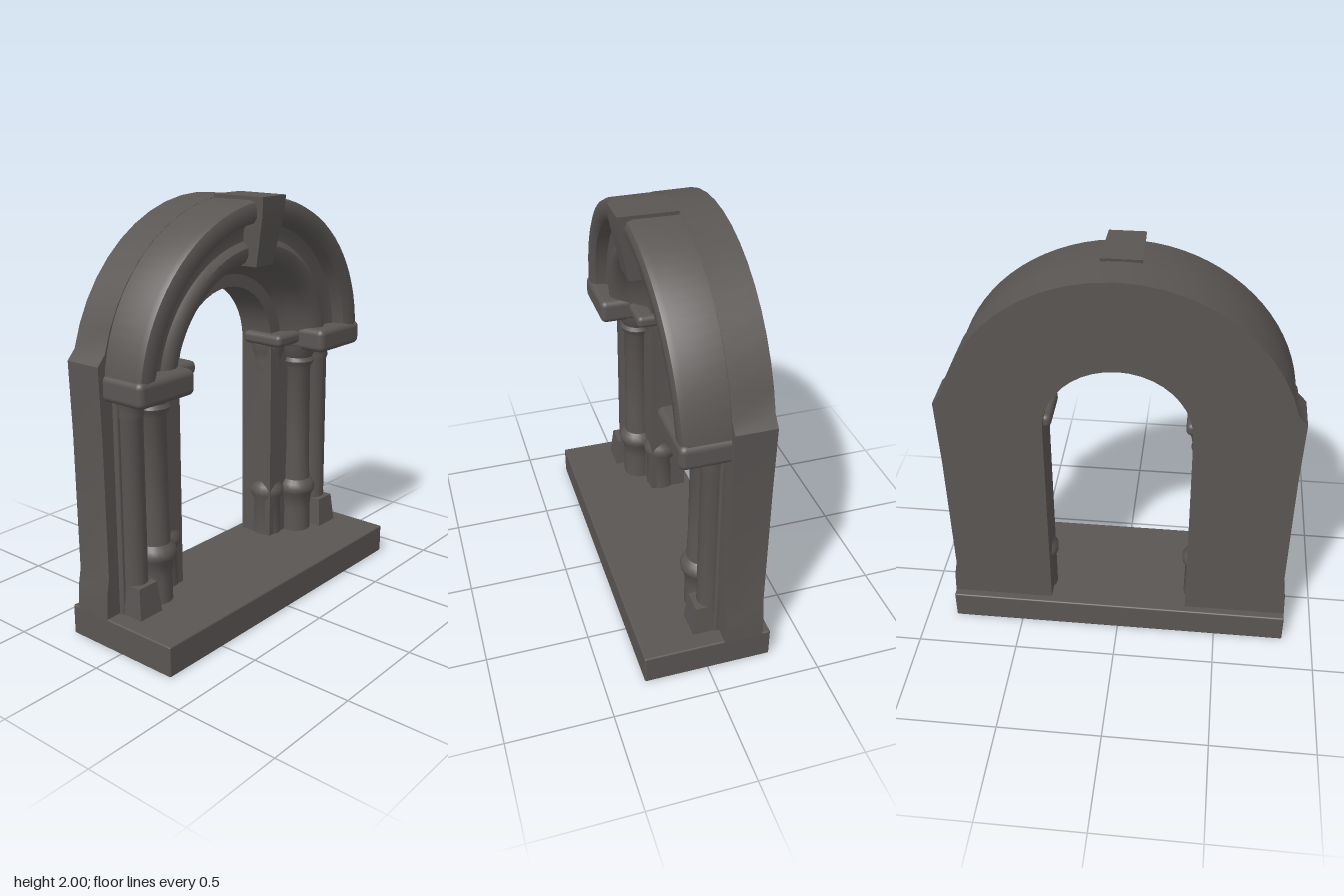
import * as THREE from 'three';
import { toCreasedNormals } from 'three/addons/utils/BufferGeometryUtils.js';
import { RoundedBoxGeometry } from 'three/addons/geometries/RoundedBoxGeometry.js';

const stone = new THREE.MeshStandardMaterial({ color: 0x5a5654 });
stone.name = 'darkStone';
const V = (p) => p.map(([x, y]) => new THREE.Vector2(x, y));

function add(parent, name, geometry, x = 0, y = 0, z = 0) {
  const mesh = new THREE.Mesh(geometry, stone);
  mesh.name = name;
  mesh.position.set(x, y, z);
  parent.add(mesh);
  return mesh;
}

// Box given by its limits, with softened edges
function block(parent, name, x0, x1, y0, y1, z0, z1, r = 0.01) {
  const g = new RoundedBoxGeometry(x1 - x0, y1 - y0, z1 - z0, 3, r);
  return add(parent, name, g, (x0 + x1) / 2, (y0 + y1) / 2, (z0 + z1) / 2);
}

// Turned column from [radius, height] pairs
function column(parent, name, x, z, profile) {
  const g = toCreasedNormals(new THREE.LatheGeometry(V(profile), 20), 0.7);
  return add(parent, name, g, x, 0, z);
}

// Back wall: slab with a round head and a round-headed opening
function wallGeometry() {
  const pts = [[0.85, 0.14], [0.845, 0.26], [0.83, 0.34], [0.835, 1.0], [0.845, 1.33]];
  const n = 20;
  for (let i = 0; i <= n; i++) {
    const a = 0.26 + (Math.PI - 0.52) * i / n;
    pts.push([0.83 * Math.cos(a), 1.165 + 0.825 * Math.sin(a)]);
  }
  pts.push([-0.845, 1.33], [-0.835, 1.0], [-0.83, 0.34], [-0.845, 0.26], [-0.85, 0.14]);
  pts.push([-0.345, 0.14], [-0.345, 1.22]);
  for (let i = 1; i < n; i++) {
    const a = Math.PI * (1 - i / n);
    pts.push([0.345 * Math.cos(a), 1.22 + 0.335 * Math.sin(a)]);
  }
  pts.push([0.345, 1.22], [0.345, 0.14]);
  const g = new THREE.ExtrudeGeometry(new THREE.Shape(V(pts)), { depth: 0.19, bevelEnabled: false });
  g.translate(0, 0, -0.27);
  return toCreasedNormals(g, 0.6);
}

// Moulded arch: [radius, z] section swept over a half circle
function archGeometry() {
  const section = [[0.8, -0.12], [0.8, 0.1], [0.79, 0.125], [0.765, 0.135], [0.72, 0.132],
    [0.695, 0.115], [0.685, 0.085], [0.675, 0.06], [0.64, 0.05], [0.605, 0.05], [0.595, 0.06],
    [0.575, 0.075], [0.54, 0.075], [0.505, 0.055], [0.485, 0.02], [0.47, -0.02],
    [0.42, -0.075], [0.37, -0.14], [0.348, -0.2], [0.4, -0.2], [0.8, -0.12]];
  const n = 40, m = section.length, pos = [], index = [];
  for (let i = 0; i <= n; i++) {
    const a = Math.PI * i / n, s = Math.sin(a);
    for (const [r, z] of section) {
      const lean = z > 0 ? 0.03 * s : 0;
      pos.push(r * Math.cos(a) * 1.015, 1.2 + r * s * 0.985 + 0.012 * s * (0.8 - r), z + lean);
    }
  }
  for (let i = 0; i < n; i++) {
    for (let j = 0; j < m - 1; j++) {
      const a = i * m + j, b = a + m;
      index.push(a, b, a + 1, b, b + 1, a + 1);
    }
  }
  const g = new THREE.BufferGeometry();
  g.setAttribute('position', new THREE.Float32BufferAttribute(pos, 3));
  g.setIndex(index);
  return toCreasedNormals(g, 0.65);
}

// Keystone: wedge narrowing and receding towards its foot
function keystoneGeometry() {
  const g = new THREE.BoxGeometry(1, 1, 1, 1, 4, 1);
  const p = g.attributes.position;
  for (let i = 0; i < p.count; i++) {
    const t = p.getY(i) + 0.5;
    const front = p.getZ(i) > 0;
    const half = (0.06 + 0.025 * t) * (front ? 1 : 1.1);
    p.setXYZ(i, Math.sign(p.getX(i)) * half, 1.68 + 0.32 * t,
      front ? 0.145 + 0.055 * Math.min(1, t * 1.2) : -0.08 * t);
  }
  g.computeVertexNormals();
  return toCreasedNormals(g, 0.6);
}

// Everything on one side of the opening; s = 1 is the model's left
function jamb(s) {
  const group = new THREE.Group();
  group.name = s > 0 ? 'leftJamb' : 'rightJamb';
  const span = (name, a, b, ...rest) =>
    block(group, name, Math.min(s * a, s * b), Math.max(s * a, s * b), ...rest);

  // Stepped masonry behind the columns
  span('outerStep', 0.61, 0.77, 0.14, 1.2, -0.2, -0.055);
  span('innerStep', 0.44, 0.63, 0.14, 1.2, -0.2, -0.085);

  // Outer column on a sloping square foot
  column(group, 'outerColumn', s * 0.695, -0.05, [
    [0.06, 0.14], [0.058, 1.08], [0.065, 1.1], [0.062, 1.12], [0.075, 1.15], [0.08, 1.19]]);
  const foot = new THREE.CylinderGeometry(0.08, 0.098, 0.15, 4, 1);
  foot.rotateY(Math.PI / 4);
  foot.scale(1, 1, 1.3);
  add(group, 'outerFoot', toCreasedNormals(foot, 0.5), s * 0.695, 0.22, -0.04);

  // Middle column with ringed base and capital
  column(group, 'middleColumn', s * 0.55, -0.06, [
    [0.08, 0.14], [0.078, 0.28], [0.085, 0.35], [0.1, 0.37], [0.103, 0.395], [0.092, 0.42],
    [0.073, 0.44], [0.068, 0.6], [0.066, 1.06], [0.08, 1.085], [0.086, 1.1], [0.075, 1.12],
    [0.09, 1.15], [0.1, 1.19]]);

  // Inner column at the edge of the opening
  column(group, 'innerColumn', s * 0.41, -0.15, [
    [0.078, 0.14], [0.075, 0.34], [0.09, 0.37], [0.092, 0.4], [0.08, 0.42], [0.064, 0.45],
    [0.062, 1.05], [0.075, 1.09], [0.07, 1.11], [0.08, 1.16], [0.09, 1.2], [0.09, 1.22]]);
  span('innerAbacus', 0.31, 0.5, 1.205, 1.27, -0.24, 0.0, 0.025);

  // Impost block carrying the arch
  span('impost', 0.475, 0.82, 1.17, 1.29, -0.12, 0.145, 0.03);
  return group;
}

export function createModel() {
  const model = new THREE.Group();
  model.name = 'stoneArchway';
  block(model, 'base', -0.85, 0.85, 0, 0.147, -0.31, 0.31, 0.008);
  add(model, 'wall', wallGeometry());
  add(model, 'mouldedArch', archGeometry());
  add(model, 'keystone', keystoneGeometry());
  model.add(jamb(1), jamb(-1));
  return model;
}
